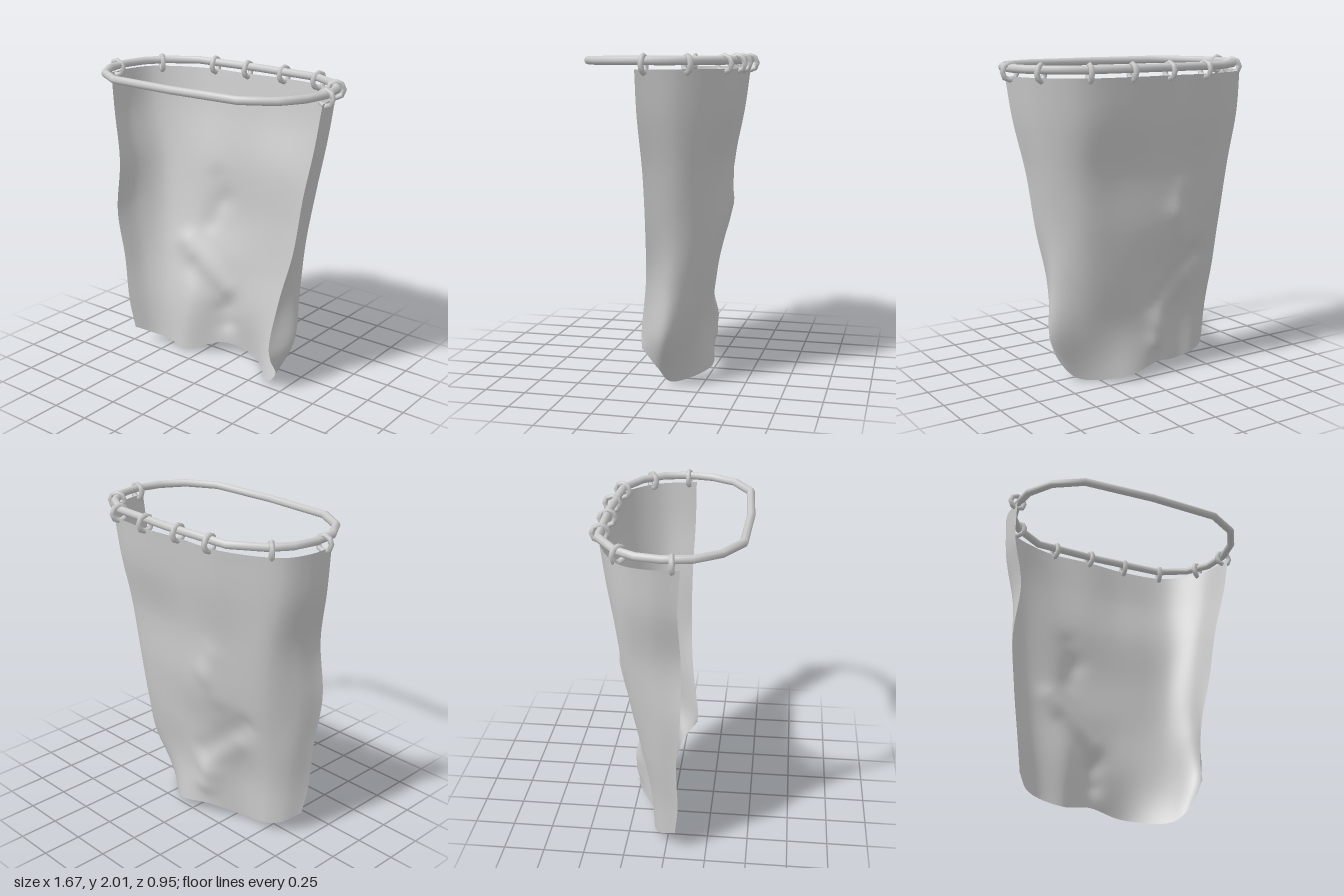
import * as THREE from 'three';

const v = (x, y, z) => new THREE.Vector3(x, y, z);
const material = new THREE.MeshStandardMaterial({ color: 0xcccccc });
const clothMaterial = new THREE.MeshStandardMaterial({ color: 0xcccccc, side: THREE.DoubleSide });

// Oval rail: a tube with one segment per corner
function makeRail() {
  const corners = [
    [0, -0.41], [0.46, -0.39], [0.64, -0.29], [0.74, -0.16], [0.77, 0], [0.74, 0.16], [0.65, 0.31], [0.46, 0.42],
    [0, 0.44], [-0.46, 0.42], [-0.64, 0.31], [-0.74, 0.16], [-0.76, 0], [-0.73, -0.15], [-0.65, -0.27], [-0.46, -0.395],
  ];
  const curve = new THREE.CatmullRomCurve3(corners.map(([x, z]) => v(x, 1.955, z)), true);
  curve.getUtoTmapping = (u) => u; // tube rings land exactly on the corners
  const rail = new THREE.Mesh(new THREE.TubeGeometry(curve, corners.length, 0.025, 8, true), material);
  rail.name = 'rail';
  return rail;
}

// Hanging rings: x, z and the heading of the rail there
function makeRings() {
  const group = new THREE.Group();
  group.name = 'curtainRings';
  const places = [
    [-0.775, 0.055, -1.65], [-0.66, -0.25, -0.85], [-0.335, -0.405, -0.15], [-0.075, -0.405, -0.12],
    [0.195, -0.42, 0.1], [0.465, -0.395, 0.3], [0.69, -0.23, 0.95], [0.77, 0, 1.62],
  ];
  const geometry = new THREE.TorusGeometry(0.047, 0.017, 6, 8);
  geometry.rotateY(Math.PI / 2);
  for (const [x, z, heading] of places) {
    const ring = new THREE.Mesh(geometry, material);
    ring.name = 'curtainRing';
    ring.position.set(x, 1.935, z);
    ring.rotation.y = -heading;
    group.add(ring);
  }
  return group;
}

// Curtain cross-sections from the right edge to the left edge, [x, z] at each height
const sections = [
  [1.908, [[-0.79, 0.1], [-0.795, -0.08], [-0.73, -0.24], [-0.4, -0.4], [-0.07, -0.41], [0.2, -0.43], [0.52, -0.385], [0.71, -0.2], [0.778, 0.05]]],
  [1.65, [[-0.785, 0.085], [-0.785, -0.08], [-0.71, -0.24], [-0.38, -0.37], [-0.07, -0.38], [0.2, -0.4], [0.5, -0.36], [0.68, -0.18], [0.735, 0.05]]],
  [1.33, [[-0.74, 0.1], [-0.73, -0.08], [-0.64, -0.24], [-0.36, -0.31], [-0.1, -0.33], [0.2, -0.33], [0.48, -0.3], [0.62, -0.17], [0.66, 0.04]]],
  [0.97, [[-0.775, 0.1], [-0.72, -0.06], [-0.6, -0.2], [-0.36, -0.26], [-0.17, -0.31], [0.2, -0.31], [0.45, -0.27], [0.565, -0.15], [0.6, 0.04]]],
  [0.65, [[-0.745, 0.075], [-0.68, -0.06], [-0.56, -0.15], [-0.36, -0.19], [-0.12, -0.25], [0.15, -0.275], [0.42, -0.235], [0.555, -0.11], [0.52, 0.06]]],
  [0.33, [[-0.71, 0.08], [-0.63, -0.04], [-0.53, -0.1], [-0.33, -0.11], [-0.13, -0.22], [0.12, -0.23], [0.4, -0.17], [0.555, -0.06], [0.478, 0.1]]],
];
// Uneven hem, [x, y, z]
const hem = [
  [-0.68, 0.13, 0.06], [-0.6, 0.07, -0.04], [-0.5, 0.04, -0.085], [-0.35, 0.01, -0.08], [-0.12, 0.07, -0.22],
  [0.11, 0.03, -0.25], [0.36, 0, -0.055], [0.465, 0.11, 0], [0.49, 0.24, 0.095],
];
// Creases in the cloth: x0, y0, x1, y1, width, depth
const creases = [
  [-0.25, 1.2, -0.2, 1.06, 0.07, -0.012], [-0.2, 1.06, -0.27, 0.9, 0.07, -0.012],
  [-0.42, 0.75, -0.12, 0.47, 0.07, 0.022], [-0.34, 0.59, -0.1, 0.38, 0.07, -0.015],
  [-0.13, 0.3, -0.11, 0.22, 0.07, -0.03],
];

function creaseDepth(x, y) {
  let sum = 0;
  for (const [x0, y0, x1, y1, width, depth] of creases) {
    const dx = x1 - x0, dy = y1 - y0;
    const t = THREE.MathUtils.clamp(((x - x0) * dx + (y - y0) * dy) / (dx * dx + dy * dy), 0, 1);
    const d = Math.hypot(x - x0 - t * dx, y - y0 - t * dy) / width;
    sum += depth * Math.exp(-d * d);
  }
  return sum;
}

// Curtain: a grid laid over smooth curves through the cross-sections
function makeCurtain() {
  const columns = 64, rows = 64;
  const lines = hem.map((end, i) => new THREE.CatmullRomCurve3(
    [...sections.map(([y, row]) => v(row[i][0], y, row[i][1])), v(...end)]));
  const geometry = new THREE.PlaneGeometry(1, 1, columns, rows);
  const position = geometry.attributes.position;
  for (let r = 0; r <= rows; r++) {
    const across = new THREE.CatmullRomCurve3(lines.map((line) => line.getPoint(r / rows)));
    for (let c = 0; c <= columns; c++) {
      const p = across.getPoint(c / columns);
      position.setXYZ(r * (columns + 1) + c, p.x, p.y, p.z + creaseDepth(p.x, p.y));
    }
  }
  geometry.computeVertexNormals();
  const curtain = new THREE.Mesh(geometry, clothMaterial);
  curtain.name = 'curtain';
  return curtain;
}

export function createModel() {
  const model = new THREE.Group();
  model.name = 'showerCurtain';
  model.add(makeRail(), makeRings(), makeCurtain());
  return model;
}
